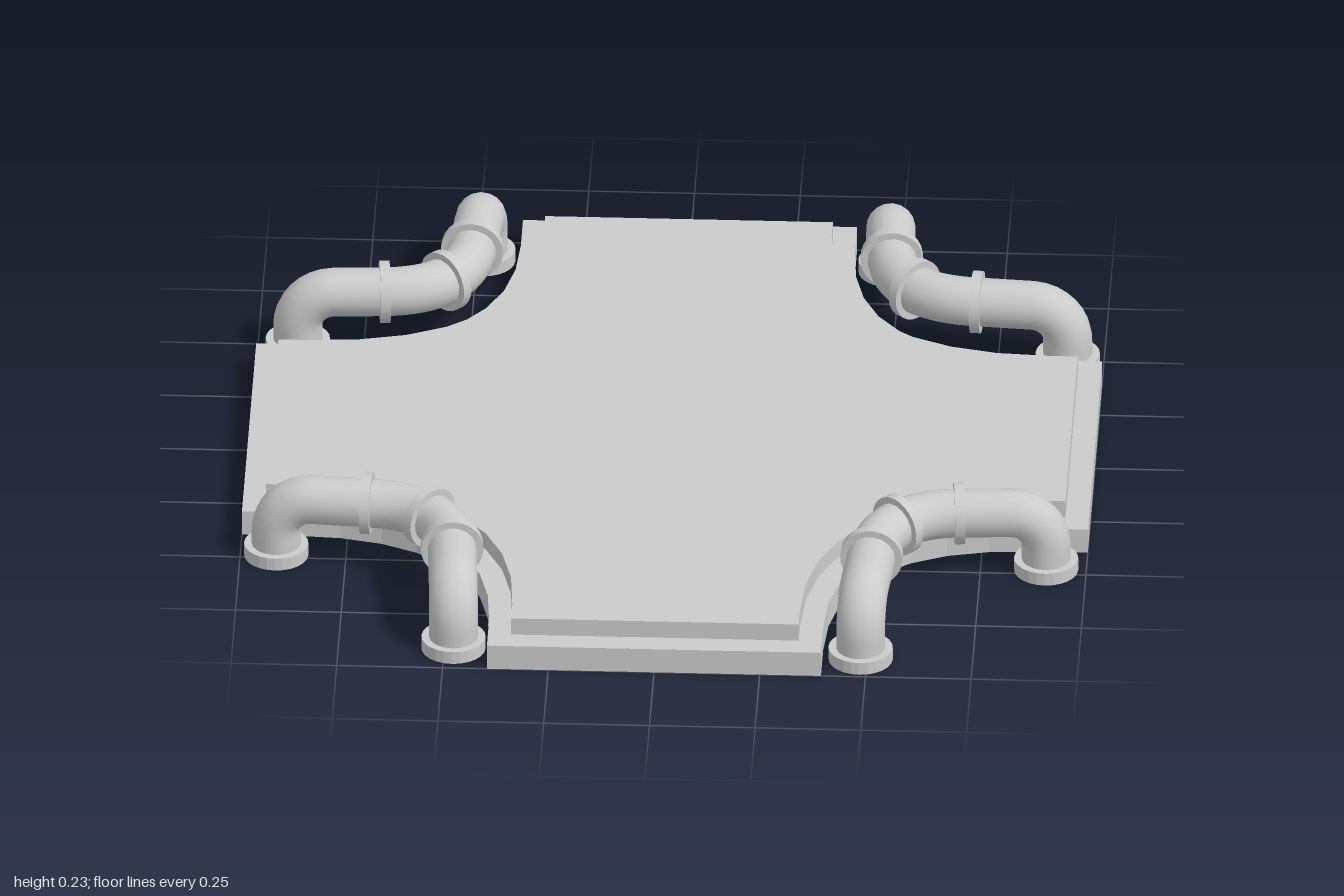
import * as THREE from 'three';

const material = new THREE.MeshStandardMaterial({ color: 0xcccccc, side: THREE.DoubleSide });
const PIPE_Y = 0.156, PIPE_R = 0.058;

function addMesh(parent, name, geometry) {
  const mesh = new THREE.Mesh(geometry, material);
  mesh.name = name;
  parent.add(mesh);
  return mesh;
}

// Cross-shaped plate with curved inner corners
function plate(length, width, curveStart, bottom, height) {
  const shape = new THREE.Shape();
  const turn = (x, y, k) => [[x, y], [-y, x], [-x, -y], [y, -x]][k];
  shape.moveTo(length, -width);
  for (let k = 0; k < 4; k++) {
    shape.lineTo(...turn(length, width, k));
    shape.lineTo(...turn(curveStart, width, k));
    shape.quadraticCurveTo(...turn(width, width, k), ...turn(width, curveStart, k));
    shape.lineTo(...turn(width, length, k));
  }
  const geometry = new THREE.ExtrudeGeometry(shape, { depth: height, bevelEnabled: false, curveSegments: 8 });
  return geometry.rotateX(-Math.PI / 2).translate(0, bottom, 0);
}

// Hollow ring around the y axis
function ring(inner, outer, height) {
  const profile = [[inner, 0], [outer, 0], [outer, height], [inner, height], [inner, 0]];
  const points = [];
  // doubled corners keep the edges crisp
  profile.slice(0, -1).forEach((p, i) => points.push(new THREE.Vector2(...p), new THREE.Vector2(...profile[i + 1])));
  return new THREE.LatheGeometry(points, 24).toNonIndexed();
}

function createPipe() {
  const pipe = new THREE.Group();
  const v = (x, y, z) => new THREE.Vector3(x, y, z);
  const footA = v(0.485, 0, 0.915), footB = v(0.905, 0, 0.478);
  const bendA = v(0.502, PIPE_Y, 0.7), bendB = v(0.7, PIPE_Y, 0.49);
  const elbow = 0.085;

  // Corner of an elbow and the points where it meets the straights
  const ends = [[footA, bendA], [footB, bendB]].map(([foot, bend]) => {
    const top = foot.clone().setY(PIPE_Y);
    const low = foot.clone().setY(PIPE_Y - elbow);
    const out = top.clone().add(bend.clone().sub(top).setLength(elbow));
    return { top, low, out };
  });
  const [a, b] = ends;
  const k = 0.45; // keeps the elbow close to a circular arc
  const bend = new THREE.QuadraticBezierCurve3(bendA, v(0.515, PIPE_Y, 0.505), bendB);
  const path = new THREE.CurvePath();
  path.add(new THREE.LineCurve3(footA.clone().setY(0.015), a.low));
  path.add(new THREE.CubicBezierCurve3(a.low, a.top.clone().lerp(a.low, k), a.top.clone().lerp(a.out, k), a.out));
  path.add(new THREE.LineCurve3(a.out, bendA));
  path.add(bend);
  path.add(new THREE.LineCurve3(bendB, b.out));
  path.add(new THREE.CubicBezierCurve3(b.out, b.top.clone().lerp(b.out, k), b.top.clone().lerp(b.low, k), b.low));
  path.add(new THREE.LineCurve3(b.low, footB.clone().setY(0.015)));
  addMesh(pipe, 'pipeTube', new THREE.TubeGeometry(path, 56, PIPE_R, 18, false));

  // Foot flanges
  for (const foot of [footA, footB]) {
    const flange = ring(0.05, 0.076, 0.032);
    flange.computeVertexNormals();
    addMesh(pipe, 'footFlange', flange).position.copy(foot);
  }

  // Collars at both ends and the middle of the bend
  for (const t of [0, 0.5, 1]) {
    const collar = addMesh(pipe, 'pipeCollar', new THREE.CylinderGeometry(0.074, 0.074, 0.024, 24));
    collar.position.copy(bend.getPoint(t));
    collar.quaternion.setFromUnitVectors(v(0, 1, 0), bend.getTangent(t));
  }
  return pipe;
}

export function createModel() {
  const model = new THREE.Group();
  model.name = 'crossPlatform';
  addMesh(model, 'basePlate', plate(1, 0.395, 0.88, 0, 0.063));
  addMesh(model, 'topPlate', plate(0.945, 0.34, 0.88, 0.063, 0.044));

  // One pipe in each inner corner
  const names = ['frontLeftPipe', 'backLeftPipe', 'backRightPipe', 'frontRightPipe'];
  names.forEach((name, i) => {
    const pipe = createPipe();
    pipe.name = name;
    pipe.rotation.y = i * Math.PI / 2;
    model.add(pipe);
  });
  return model;
}
